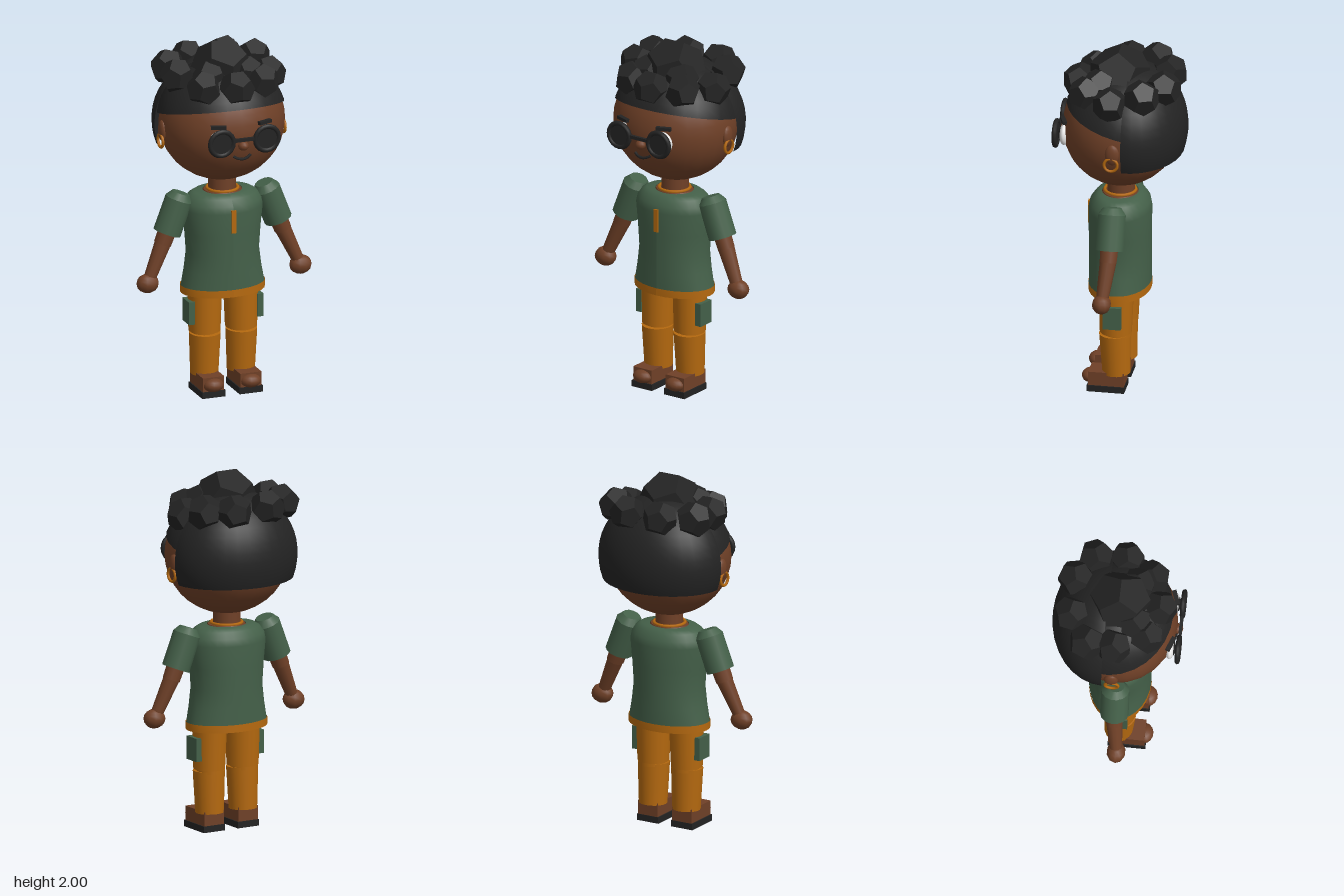
import * as THREE from 'three';

const mat = (name, color, side = THREE.FrontSide) => {
  const m = new THREE.MeshStandardMaterial({ color, side });
  m.name = name;
  return m;
};

export function createModel() {
  const model = new THREE.Group();
  model.name = 'character';
  const skin = mat('brown skin', 0x6f4027);
  const green = mat('green cloth', 0x446049, THREE.DoubleSide);
  const ochre = mat('ochre cloth', 0xb5690f, THREE.DoubleSide);
  const hair = mat('black hair', 0x232323, THREE.DoubleSide);
  const white = mat('eye white', 0xf2f2f2);

  const add = (name, geo, material, x = 0, y = 0, z = 0) => {
    const m = new THREE.Mesh(geo, material);
    m.name = name;
    m.position.set(x, y, z);
    model.add(m);
    return m;
  };
  const ball = (name, material, pos, size, w = 20, h = 14) => {
    const m = add(name, new THREE.SphereGeometry(1, w, h), material, ...pos);
    m.scale.set(...size);
    return m;
  };
  const box = (name, material, pos, size) => add(name, new THREE.BoxGeometry(...size), material, ...pos);
  // Tapered cylinder from point a (radius ra) to point b (radius rb)
  const limb = (name, material, a, b, ra, rb, sides = 16) => {
    const A = new THREE.Vector3(...a), B = new THREE.Vector3(...b);
    const d = B.clone().sub(A);
    const m = add(name, new THREE.CylinderGeometry(rb, ra, d.length(), sides), material);
    m.position.copy(A).addScaledVector(d, 0.5);
    m.quaternion.setFromUnitVectors(new THREE.Vector3(0, 1, 0), d.normalize());
    return m;
  };
  // Oval loft: rows of [y, half width, half depth]
  const loft = (name, material, rows, z) => {
    const geo = new THREE.LatheGeometry(rows.map(([y, rx]) => new THREE.Vector2(rx, y)), 28);
    const p = geo.attributes.position;
    for (let i = 0; i < p.count; i++) {
      const [, rx, rz] = rows[i % rows.length];
      p.setZ(i, p.getZ(i) * rz / rx);
    }
    geo.computeVertexNormals();
    return add(name, geo, material, 0, 0, z);
  };

  // Head and face
  ball('head', skin, [0, 1.54, 0], [0.35, 0.33, 0.325], 24, 18);
  ball('nose', skin, [0, 1.49, 0.325], [0.03, 0.027, 0.03], 12, 8);
  const mouthPath = new THREE.QuadraticBezierCurve3(
    new THREE.Vector3(-0.05, 1.428, 0.305), new THREE.Vector3(0, 1.395, 0.33), new THREE.Vector3(0.05, 1.428, 0.305));
  add('mouth', new THREE.TubeGeometry(mouthPath, 10, 0.008, 6), hair);

  // Hair cap tilted up at the front, with a lower shell behind
  const cap = add('hairCap', new THREE.SphereGeometry(1, 28, 10, 0, Math.PI * 2, 0, 1.36), hair, 0, 1.54, 0);
  cap.scale.set(0.362, 0.345, 0.335);
  cap.rotation.x = -0.24;
  const shell = add('hairBack', new THREE.SphereGeometry(1, 16, 14, Math.PI, Math.PI, 0, 1.94), hair, 0, 1.54, -0.055);
  shell.scale.set(0.372, 0.36, 0.306);

  // Faceted curls: x, y, z, radius, turn
  const curls = [
    [0, 1.835, 0.01, 0.177, 0],
    [0, 1.79, 0.23, 0.1, 0], [0.17, 1.79, 0.17, 0.1, 0.5], [-0.17, 1.79, 0.17, 0.1, -0.5],
    [0.265, 1.78, 0.02, 0.1, 0.2], [-0.26, 1.82, 0.0, 0.1, -0.2],
    [0.24, 1.825, -0.15, 0.102, 0.4], [-0.255, 1.825, -0.15, 0.102, -0.4],
    [0.11, 1.83, -0.25, 0.1, 0.2], [-0.1, 1.83, -0.25, 0.1, -0.2],
    [0.11, 1.82, 0.1, 0.1, 0.3], [-0.11, 1.82, 0.1, 0.1, -0.3],
  ];
  for (const [x, y, z, r, turn] of curls) {
    const geo = new THREE.DodecahedronGeometry(r);
    add('curl', geo, hair, x, y, z).rotation.set(0, turn, turn * 0.5);
  }

  // Glasses bridge
  box('glassesBridge', hair, [0, 1.53, 0.342], [0.13, 0.018, 0.018]);

  // Neck, neckline and shirt
  limb('neck', skin, [0, 1.1, 0.005], [0, 1.25, 0.005], 0.077, 0.075);
  const chest = limb('upperChest', skin, [0, 1.1, 0.01], [0, 1.148, 0.01], 0.13, 0.105, 24);
  chest.scale.z = 0.9;
  const collar = add('collar', new THREE.TorusGeometry(0.085, 0.009, 6, 24), ochre, 0, 1.152, 0.01);
  collar.rotation.x = Math.PI / 2;
  loft('shirt', green, [
    [0.6, 0.237, 0.17], [0.7, 0.218, 0.17], [0.8, 0.205, 0.17], [0.92, 0.214, 0.171],
    [1.05, 0.228, 0.173], [1.09, 0.22, 0.165], [1.125, 0.195, 0.14], [1.142, 0.165, 0.12], [1.145, 0.11, 0.1],
  ], 0.01);
  loft('hem', ochre, [[0.57, 0.24, 0.172], [0.612, 0.24, 0.172]], 0.01);
  limb('hips', skin, [0, 0.59, 0.01], [0, 0.6, 0.01], 0.236, 0.236, 28).scale.z = 0.71;
  box('placket', ochre, [0, 1.005, 0.183], [0.028, 0.13, 0.009]);

  for (const s of [1, -1]) {
    // Eyes, brows and round glasses
    ball('eye', white, [s * 0.13, 1.52, 0.297], [0.06, 0.062, 0.026]);
    ball('pupil', hair, [s * 0.13, 1.52, 0.314], [0.04, 0.042, 0.014]);
    const brow = box('brow', hair, [s * 0.135, 1.603, 0.3], [0.085, 0.018, 0.025]);
    brow.rotation.y = s * 0.35;
    add('glassesRim', new THREE.TorusGeometry(0.068, 0.014, 8, 20), hair, s * 0.132, 1.522, 0.342);
    limb('lens', hair, [s * 0.132, 1.522, 0.334], [s * 0.132, 1.522, 0.347], 0.066, 0.066, 20);

    // Ear and hoop earring
    ball('ear', skin, [s * 0.345, 1.515, -0.005], [0.022, 0.06, 0.04], 12, 10);
    add('earring', new THREE.TorusGeometry(0.037, 0.008, 6, 20), ochre, s * 0.358, 1.46, 0).rotation.y = Math.PI / 2;

    // Sleeve with a sloping shoulder cap, then arm and hand
    limb('sleeve', green, [s * 0.255, 1.115, 0.01], [s * 0.325, 0.93, 0.012], 0.077, 0.078, 14);
    limb('shoulder', green, [s * 0.242, 1.15, 0.01], [s * 0.255, 1.115, 0.01], 0.05, 0.077, 14);
    limb('upperArm', skin, [s * 0.3, 1.0, 0.012], [s * 0.352, 0.87, 0.015], 0.052, 0.048, 12);
    limb('forearm', skin, [s * 0.35, 0.875, 0.015], [s * 0.435, 0.685, 0.033], 0.046, 0.034, 12);
    ball('hand', skin, [s * 0.447, 0.66, 0.035], [0.064, 0.054, 0.052], 10, 8);

    // Trouser leg with a knee seam and side pocket
    limb('upperLeg', ochre, [s * 0.105, 0.6, 0.013], [s * 0.107, 0.345, 0.016], 0.096, 0.088, 18);
    limb('knee', ochre, [s * 0.107, 0.355, 0.005], [s * 0.107, 0.325, 0.005], 0.076, 0.076, 18);
    limb('lowerLeg', ochre, [s * 0.107, 0.336, 0.02], [s * 0.107, 0.1, 0.012], 0.088, 0.078, 18);
    box('pocket', green, [s * 0.2, 0.465, 0.02], [0.036, 0.13, 0.1]);

    // Shoe
    box('sole', hair, [s * 0.109, 0.018, 0.062], [0.136, 0.036, 0.207]);
    box('shoe', skin, [s * 0.109, 0.075, 0.06], [0.124, 0.08, 0.198]);
    ball('toe', skin, [s * 0.109, 0.07, 0.155], [0.058, 0.038, 0.048], 14, 10);
  }
  return model;
}
